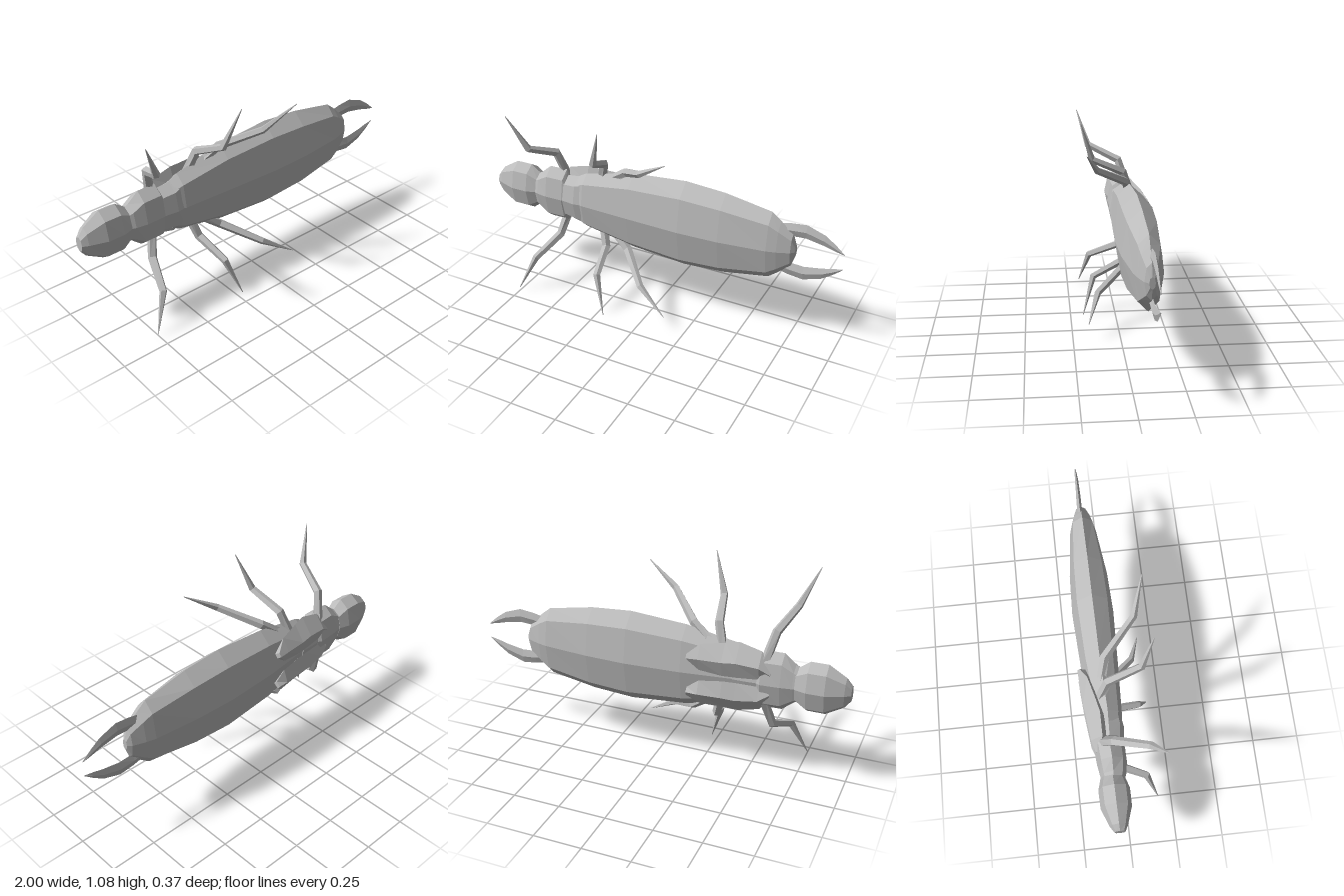
import * as THREE from 'three';

const CY = 0.54; // height of the body's mirror line
const shell = new THREE.MeshStandardMaterial({ color: 0xbbbbbb });
shell.name = 'shell grey';

// Faceted skin through rings of points; rings run anticlockwise about the path.
function loft(name, rings) {
  const pos = [];
  const tri = (...ps) => ps.forEach((p) => pos.push(p.x, p.y, p.z));
  const n = rings[0].length;
  for (let i = 0; i < rings.length - 1; i++) {
    for (let j = 0; j < n; j++) {
      const k = (j + 1) % n;
      const a = rings[i][j], b = rings[i][k], c = rings[i + 1][k], d = rings[i + 1][j];
      tri(a, b, c);
      tri(a, c, d);
    }
  }
  const mid = (r) => r.reduce((s, p) => s.add(p), new THREE.Vector3()).divideScalar(n);
  const first = rings[0], last = rings[rings.length - 1];
  const m0 = mid(first), m1 = mid(last);
  for (let j = 0; j < n; j++) {
    const k = (j + 1) % n;
    tri(m0, first[k], first[j]);
    tri(m1, last[j], last[k]);
  }
  const geo = new THREE.BufferGeometry();
  geo.setAttribute('position', new THREE.Float32BufferAttribute(pos, 3));
  geo.computeVertexNormals();
  const mesh = new THREE.Mesh(geo, shell);
  mesh.name = name;
  return mesh;
}

const V = (x, y, z) => new THREE.Vector3(x, CY + y, z);

// Eight-sided body section: x, half height, belly z, back z
function bodyRing([x, h, zf, zb]) {
  const m = (zf + zb) / 2, q = 0.72, f = m + (zf - m) * q, b = m + (zb - m) * q;
  return [V(x, h, m), V(x, h * q, f), V(x, 0, zf), V(x, -h * q, f),
    V(x, -h, m), V(x, -h * q, b), V(x, 0, zb), V(x, h * q, b)];
}
const body = (name, stations) => loft(name, stations.map(bodyRing));

// Five-sided limb along a path of [x, y, z, radius]
function limb(name, path, side) {
  const pts = path.map(([x, y, z]) => V(x, y * side, z));
  const rings = pts.map((p, i) => {
    const t = pts[Math.min(i + 1, pts.length - 1)].clone()
      .sub(pts[Math.max(i - 1, 0)]).normalize();
    const u = new THREE.Vector3(1, 0, 0).addScaledVector(t, -t.x).normalize();
    const v = t.clone().cross(u);
    return Array.from({ length: 5 }, (_, j) => {
      const a = (j / 5) * Math.PI * 2, r = path[i][3];
      return p.clone().addScaledVector(u, Math.cos(a) * r).addScaledVector(v, Math.sin(a) * r);
    });
  });
  return loft(name, rings);
}

// Wing case section: x, inner y, outer y, ridge z, outer edge z
function wing(name, stations, side) {
  return loft(name, stations.map(([x, yi, yo, zr, zo]) => {
    const ym = (yi + yo) / 2;
    const ring = [V(x, yo * side, zo), V(x, ym * side, zo + 0.03),
      V(x, yi * side, zr + 0.025), V(x, ym * side, zr)];
    return side > 0 ? ring : ring.reverse();
  }));
}

// Flat curved pincer section: x, centre y, half width, half thickness
function pincer(name, stations, side) {
  return loft(name, stations.map(([x, y, w, t]) => [
    V(x, y * side + w, -0.09), V(x, y * side, -0.09 + t),
    V(x, y * side - w, -0.09), V(x, y * side, -0.09 - t)]));
}

export function createModel() {
  const g = new THREE.Group();
  g.name = 'insect';

  g.add(body('head', [
    [-1, 0.04, -0.035, -0.09], [-0.97, 0.08, -0.02, -0.11], [-0.88, 0.135, 0.01, -0.145],
    [-0.79, 0.135, 0.01, -0.147], [-0.73, 0.09, -0.01, -0.13]]));
  g.add(body('frontThorax', [
    [-0.745, 0.09, -0.01, -0.125], [-0.72, 0.105, 0, -0.13], [-0.66, 0.155, 0.01, -0.14],
    [-0.56, 0.155, 0.008, -0.148], [-0.54, 0.11, 0, -0.135]]));
  g.add(body('rearThorax', [
    [-0.56, 0.125, 0.005, -0.135], [-0.48, 0.135, 0.015, -0.14], [-0.42, 0.16, 0.005, -0.14]]));
  g.add(body('abdomen', [
    [-0.475, 0.14, 0, -0.125], [-0.43, 0.165, 0.012, -0.135], [-0.15, 0.225, 0.022, -0.17],
    [0.15, 0.25, 0.03, -0.187], [0.37, 0.235, 0.02, -0.18], [0.62, 0.19, -0.012, -0.155],
    [0.67, 0.15, -0.025, -0.142], [0.735, 0.09, -0.05, -0.118], [0.755, 0.03, -0.07, -0.1]]));

  // Paired parts, mirrored across the body line
  const legs = {
    frontLeg: [[-0.57, 0.1, -0.1, 0.026], [-0.61, 0.255, -0.05, 0.024],
      [-0.67, 0.335, 0.12, 0.02], [-0.755, 0.525, 0.18, 0.002]],
    middleLeg: [[-0.36, 0.1, -0.1, 0.026], [-0.315, 0.255, -0.05, 0.024],
      [-0.28, 0.335, 0.12, 0.02], [-0.213, 0.54, 0.18, 0.002]],
    rearLeg: [[-0.36, 0.1, -0.1, 0.026], [-0.18, 0.235, -0.05, 0.024],
      [-0.02, 0.335, 0.11, 0.019], [0.15, 0.445, 0.168, 0.002]],
  };
  for (const side of [1, -1]) {
    const tag = side > 0 ? 'Upper' : 'Lower';
    for (const [name, path] of Object.entries(legs)) g.add(limb(name + tag, path, side));
    g.add(wing('wingCase' + tag, [
      [-0.61, 0.03, 0.08, -0.14, -0.12], [-0.555, 0.02, 0.16, -0.157, -0.1],
      [-0.44, 0.015, 0.19, -0.17, -0.1], [-0.37, 0.015, 0.18, -0.178, -0.115],
      [-0.25, 0.03, 0.165, -0.187, -0.145], [-0.19, 0.075, 0.115, -0.19, -0.178]], side));
    g.add(pincer('pincer' + tag, [
      [0.66, 0.1, 0.035, 0.012], [0.72, 0.113, 0.036, 0.012], [0.8, 0.12, 0.038, 0.011],
      [0.895, 0.095, 0.03, 0.009], [0.95, 0.068, 0.018, 0.006], [0.998, 0.042, 0.002, 0.002]], side));
  }
  return g;
}
